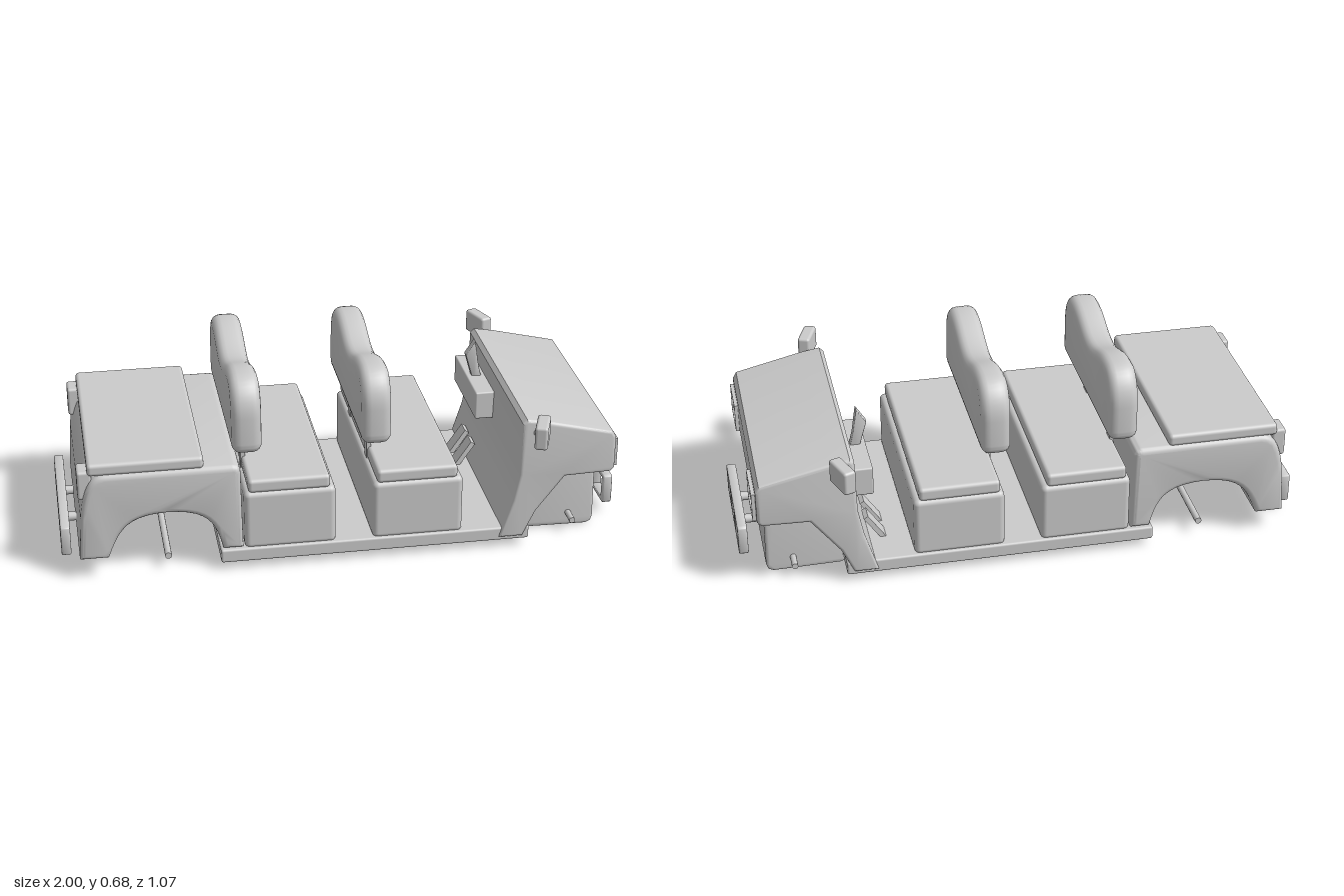
import * as THREE from 'three';
import { toCreasedNormals } from 'three/addons/utils/BufferGeometryUtils.js';
import { RoundedBoxGeometry } from 'three/addons/geometries/RoundedBoxGeometry.js';

const material = new THREE.MeshStandardMaterial({ color: 0xcccccc });

function add(parent, name, geometry, x = 0, y = 0, z = 0) {
  const mesh = new THREE.Mesh(geometry, material);
  mesh.name = name;
  mesh.position.set(x, y, z);
  parent.add(mesh);
  return mesh;
}

// Box given by its limits, optionally with rounded edges
function block(parent, name, [x0, x1], [y0, y1], [z0, z1], r = 0) {
  const s = [x1 - x0, y1 - y0, z1 - z0];
  const g = r ? new RoundedBoxGeometry(...s, 3, r) : new THREE.BoxGeometry(...s);
  return add(parent, name, g, (x0 + x1) / 2, (y0 + y1) / 2, (z0 + z1) / 2);
}

const shapeOf = pts => new THREE.Shape(pts.map(p => new THREE.Vector2(...p)));

// Extrusion centred on its depth, bevelled inward so the outline keeps its size
function slab(shape, depth, bevel, angle = 0.6) {
  const g = new THREE.ExtrudeGeometry(shape, {
    depth: depth - 2 * bevel, bevelEnabled: bevel > 0, bevelThickness: bevel,
    bevelSize: bevel, bevelOffset: -bevel, bevelSegments: 4, curveSegments: 10,
  });
  g.translate(0, 0, -(depth - 2 * bevel) / 2);
  return toCreasedNormals(g, angle);
}

function rod(parent, name, x, y, halfWidth, r) {
  const g = new THREE.CylinderGeometry(r, r, halfWidth * 2, 12).rotateX(Math.PI / 2);
  return add(parent, name, g, x, y, 0);
}

// Bumper plate with three openings and two struts
function bumper(parent, name, x, halfWidth, dir, strutZ) {
  const group = new THREE.Group();
  group.name = name;
  const k = halfWidth / 0.22, h = 0.056, r = 0.015;
  const s = new THREE.Shape();
  s.moveTo(-halfWidth + r, -h);
  s.lineTo(halfWidth - r, -h);
  s.quadraticCurveTo(halfWidth, -h, halfWidth, -h + r);
  s.lineTo(halfWidth, h - r);
  s.quadraticCurveTo(halfWidth, h, halfWidth - r, h);
  s.lineTo(-halfWidth + r, h);
  s.quadraticCurveTo(-halfWidth, h, -halfWidth, h - r);
  s.lineTo(-halfWidth, -h + r);
  s.quadraticCurveTo(-halfWidth, -h, -halfWidth + r, -h);
  for (const c of [-0.143, 0, 0.143]) {
    const a = (c - 0.05) * k, b = (c + 0.05) * k;
    s.holes.push(new THREE.Path([[a, -0.038], [a, 0.038], [b, 0.038], [b, -0.038]]
      .map(p => new THREE.Vector2(...p))));
  }
  add(group, name + 'Plate', slab(s, 0.034, 0.006).rotateY(Math.PI / 2), x, 0.1, 0);
  for (const side of [-1, 1]) {
    const strut = new THREE.CylinderGeometry(0.016, 0.016, 0.08, 12).rotateZ(Math.PI / 2);
    add(group, name + 'Strut', strut, x - dir * 0.045, 0.1, side * strutZ);
  }
  parent.add(group);
}

// Bench with box base, cushion, posts and wavy backrest
function bench(parent, name, x) {
  const group = new THREE.Group();
  group.name = name;
  block(group, 'seatBase', [x, x + 0.32], [0.07, 0.29], [-0.39, 0.39], 0.02);
  block(group, 'seatCushion', [x + 0.015, x + 0.3], [0.285, 0.335], [-0.385, 0.385], 0.014);
  for (const z of [-0.17, 0.17])
    block(group, 'backrestPost', [x + 0.012, x + 0.028], [0.2, 0.45], [z - 0.022, z + 0.022]);
  const s = new THREE.Shape();
  s.moveTo(-0.31, 0.415);
  s.lineTo(0.31, 0.415);
  s.quadraticCurveTo(0.35, 0.415, 0.35, 0.455);
  s.lineTo(0.35, 0.55);
  s.bezierCurveTo(0.35, 0.62, 0.31, 0.683, 0.25, 0.683);
  s.bezierCurveTo(0.14, 0.69, 0.09, 0.635, 0, 0.635);
  s.bezierCurveTo(-0.09, 0.635, -0.14, 0.69, -0.25, 0.683);
  s.bezierCurveTo(-0.31, 0.683, -0.35, 0.62, -0.35, 0.55);
  s.lineTo(-0.35, 0.455);
  s.quadraticCurveTo(-0.35, 0.415, -0.31, 0.415);
  add(group, 'backrest', slab(s, 0.104, 0.032, 0.9).rotateY(Math.PI / 2), x + 0.02, 0, 0);
  parent.add(group);
}

export function createModel() {
  const cart = new THREE.Group();
  cart.name = 'openCart';

  // Floor and benches
  block(cart, 'floor', [-0.455, 0.64], [0.03, 0.08], [-0.4, 0.4], 0.008);
  bench(cart, 'rearBench', -0.37);
  bench(cart, 'frontBench', 0.08);

  // Rear body with a wheel arch through its whole width
  const rear = new THREE.Shape();
  rear.moveTo(-0.94, 0.08);
  rear.lineTo(-0.93, 0.24);
  rear.bezierCurveTo(-0.92, 0.33, -0.9, 0.4, -0.84, 0.4);
  rear.lineTo(-0.41, 0.4);
  rear.quadraticCurveTo(-0.38, 0.4, -0.38, 0.37);
  rear.lineTo(-0.375, 0.08);
  rear.lineTo(-0.445, 0.08);
  rear.bezierCurveTo(-0.47, 0.19, -0.5, 0.235, -0.635, 0.238);
  rear.bezierCurveTo(-0.77, 0.235, -0.8, 0.19, -0.84, 0.08);
  add(cart, 'rearBody', slab(rear, 0.79, 0.02, 0.8));
  block(cart, 'rearDeck', [-0.9, -0.505], [0.395, 0.44], [-0.385, 0.385], 0.014);
  for (const side of [-1, 1])
    block(cart, 'tailLight', [-0.935, -0.885], [0.305, 0.41],
      [side * 0.335 - 0.04, side * 0.335 + 0.04], 0.01);
  rod(cart, 'rearAxle', -0.635, 0.055, 0.36, 0.012);

  // Front cowl and leg shield in one profile
  const cowl = shapeOf([[0.53, 0.045], [0.615, 0.045], [0.66, 0.14], [0.76, 0.27], [0.925, 0.275],
    [0.938, 0.29], [0.938, 0.41], [0.925, 0.432], [0.69, 0.487], [0.615, 0.5], [0.6, 0.485],
    [0.595, 0.29], [0.575, 0.19]]);
  add(cart, 'cowl', slab(cowl, 0.82, 0.012, 0.5));

  // Nose below the cowl
  const nose = shapeOf([[0.62, 0.015], [0.65, 0.005], [0.885, 0.002], [0.903, 0.01], [0.91, 0.03],
    [0.908, 0.2], [0.88, 0.29], [0.72, 0.29], [0.62, 0.07]]);
  add(cart, 'nose', slab(nose, 0.565, 0.012, 0.6));
  rod(cart, 'frontAxle', 0.815, 0.055, 0.345, 0.011);

  // Headlights: frame and lens
  for (const side of [-1, 1]) {
    const f = shapeOf([[-0.083, -0.052], [0.083, -0.052], [0.083, 0.052], [-0.083, 0.052]]);
    f.holes.push(new THREE.Path([[-0.074, -0.043], [-0.074, 0.043], [0.074, 0.043], [0.074, -0.043]]
      .map(p => new THREE.Vector2(...p))));
    add(cart, 'headlightFrame', slab(f, 0.03, 0).rotateY(Math.PI / 2), 0.936, 0.34, side * 0.303);
    block(cart, 'headlightLens', [0.92, 0.945], [0.295, 0.385], [side * 0.303 - 0.075, side * 0.303 + 0.075]);
  }

  // Mirrors on short arms, outer ends leaning back
  for (const side of [-1, 1]) {
    const m = new THREE.Group();
    m.name = side > 0 ? 'mirrorNear' : 'mirrorFar';
    const head = add(m, 'mirrorHead', new RoundedBoxGeometry(0.045, 0.085, 0.115, 3, 0.01), 0.65, 0.485, side * 0.478);
    head.rotation.y = -side * 0.35;
    const path = new THREE.LineCurve3(new THREE.Vector3(0.64, 0.44, side * 0.39),
      new THREE.Vector3(0.665, 0.475, side * 0.44));
    add(m, 'mirrorArm', new THREE.TubeGeometry(path, 1, 0.011, 10));
    cart.add(m);
  }

  // Dashboard box, control lever and pedals
  block(cart, 'dashBox', [0.53, 0.61], [0.315, 0.42], [-0.345, 0], 0.006);
  const lever = shapeOf([[0.555, 0.4], [0.59, 0.4], [0.575, 0.46], [0.56, 0.56], [0.525, 0.505]]);
  add(cart, 'controlLever', slab(lever, 0.03, 0.004), 0, 0, -0.165);
  for (const z of [-0.23, -0.13]) {
    const pedal = add(cart, 'pedal', new THREE.BoxGeometry(0.018, 0.11, 0.06), 0.52, 0.12, z);
    pedal.rotation.z = -0.6;
  }

  bumper(cart, 'frontBumper', 0.98, 0.22, 1, 0.075);
  bumper(cart, 'rearBumper', -0.983, 0.285, -1, 0.1);
  return cart;
}
